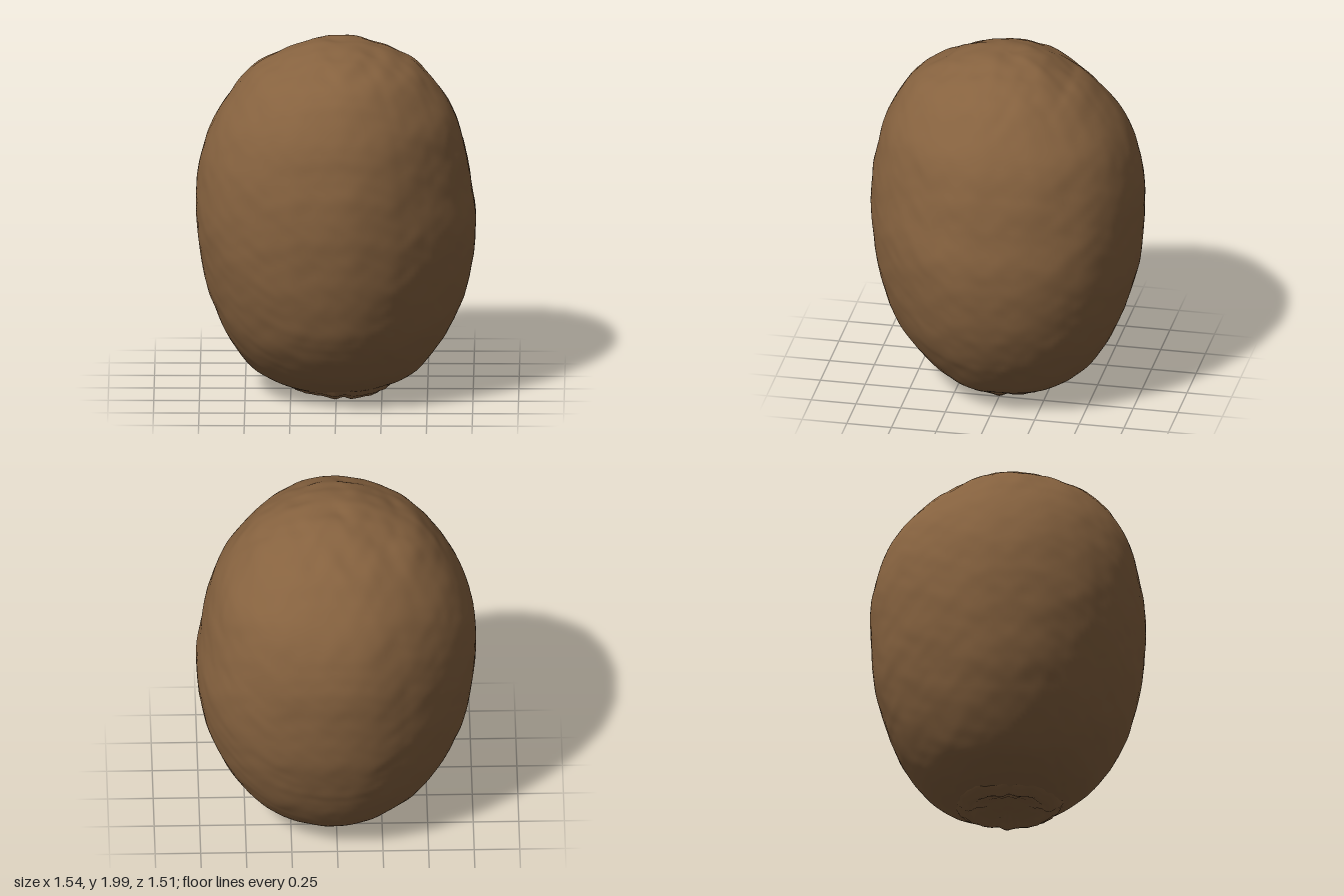
import * as THREE from 'three';
import { mergeVertices } from 'three/addons/utils/BufferGeometryUtils.js';

// height, then the radius towards left (+x), right (-x), front (+z) and back (-z)
const SECTIONS = [
  [0.06, 0, 0, 0, 0],
  [0.05, 0.12, 0.12, 0.12, 0.12],
  [0.045, 0.25, 0.25, 0.23, 0.25],
  [0.10, 0.40, 0.39, 0.36, 0.39],
  [0.20, 0.51, 0.515, 0.485, 0.50],
  [0.40, 0.64, 0.635, 0.625, 0.615],
  [0.60, 0.715, 0.71, 0.695, 0.69],
  [0.80, 0.755, 0.75, 0.735, 0.735],
  [1.00, 0.765, 0.77, 0.755, 0.75],
  [1.20, 0.735, 0.765, 0.75, 0.755],
  [1.40, 0.70, 0.73, 0.72, 0.72],
  [1.60, 0.635, 0.645, 0.665, 0.635],
  [1.80, 0.49, 0.49, 0.54, 0.46],
  [1.90, 0.36, 0.34, 0.38, 0.30],
  [1.972, 0.18, 0.17, 0.20, 0.16],
  [1.993, 0, 0, 0, 0],
];

// smooth, repeatable bumps in space
function bumps(x, y, z, f) {
  return (Math.sin(f * x + 1.7 * Math.sin(f * 0.7 * y + 1)) +
    Math.sin(f * 1.1 * y + 1.9 * Math.sin(f * 0.8 * z + 2)) +
    Math.sin(f * 0.9 * z + 1.6 * Math.sin(f * 0.75 * x + 4))) / 3;
}

// lathe a profile, move its points by a rule, and weld the seam smooth
function shapedLathe(points, segments, rule) {
  const lathe = new THREE.LatheGeometry(points, segments);
  const pos = lathe.attributes.position;
  const v = new THREE.Vector3();
  for (let i = 0; i < pos.count; i++) {
    v.fromBufferAttribute(pos, i);
    rule(v, i % points.length);
    pos.setXYZ(i, v.x, v.y, v.z);
  }
  lathe.deleteAttribute('uv');
  lathe.deleteAttribute('normal');
  const geometry = mergeVertices(lathe, 1e-5);
  geometry.computeVertexNormals();
  return geometry;
}

// change of radius at the diagonals: flattened on two, slightly full on the others
function cornerChange(x, z) {
  if (x > 0) return z > 0 ? -0.037 : 0.028;
  return z > 0 ? 0.004 : -0.045;
}

// fruit body: four side profiles blended around the axis
function bodyGeometry() {
  const rows = 150;
  const sides = [1, 2, 3, 4].map((k) =>
    new THREE.SplineCurve(SECTIONS.map((s) => new THREE.Vector2(s[k], s[0]))).getPoints(rows));
  const unit = sides[0].map((p, i) =>
    new THREE.Vector2(i === 0 || i === rows ? 0 : 1, p.y));
  return shapedLathe(unit, 160, (v, row) => {
    const rx = sides[v.x > 0 ? 0 : 1][row].x;
    const rz = sides[v.z > 0 ? 2 : 3][row].x;
    const diagonal = (2 * v.x * v.z) ** 2;
    const r = (rx * v.x * v.x + rz * v.z * v.z) * (1 + cornerChange(v.x, v.z) * diagonal);
    v.x *= r;
    v.z *= r;
    // gentle dents everywhere, rougher skin at the crown
    const crown = THREE.MathUtils.smoothstep(v.y, 1.6, 1.95);
    const d = 0.004 * bumps(v.x, v.y, v.z, 9) + 0.003 * bumps(v.x, v.y, v.z, 23) +
      0.0015 * bumps(v.x, v.y, v.z, 47) + crown * 0.007 * bumps(v.x, v.y, v.z, 30);
    const up = (v.y - 1) * 0.9;
    const len = Math.hypot(v.x, up, v.z);
    v.x += (v.x / len) * d;
    v.y += (up / len) * d;
    v.z += (v.z / len) * d;
  });
}

// low ragged ring with a hollow and a small knob inside, under the fruit
function scarGeometry() {
  const profile = [
    [0, 0.032], [0.04, 0.033], [0.08, 0.041], [0.12, 0.043], [0.14, 0.034],
    [0.16, 0.036], [0.185, 0.03], [0.2, 0.018], [0.22, 0.012], [0.24, 0.018],
    [0.255, 0.032], [0.28, 0.042], [0.3, 0.075],
  ].map(([r, y]) => new THREE.Vector2(r, y));
  return shapedLathe(profile, 120, (v, row) => {
    const a = Math.atan2(v.x, v.z);
    const rim = THREE.MathUtils.smoothstep(Math.hypot(v.x, v.z), 0.05, 0.2);
    const ragged = Math.sin(5 * a + 1) * 0.4 + Math.sin(11 * a + row * 0.6) * 0.35 +
      Math.sin(23 * a + 2) * 0.25;
    const s = 1 + 0.04 * ragged * rim;
    v.x = v.x * s + 0.015;
    v.z *= s;
    v.y += 0.007 * rim * Math.sin(7 * a + 2 * Math.sin(4 * a));
  });
}

export function createModel() {
  const skin = new THREE.MeshStandardMaterial({ color: 0x86623f });
  skin.name = 'brown skin';

  const model = new THREE.Group();
  model.name = 'kiwifruit';

  const body = new THREE.Mesh(bodyGeometry(), skin);
  body.name = 'fruitBody';

  const scar = new THREE.Mesh(scarGeometry(), skin);
  scar.name = 'blossomScar';

  model.add(body, scar);
  return model;
}
